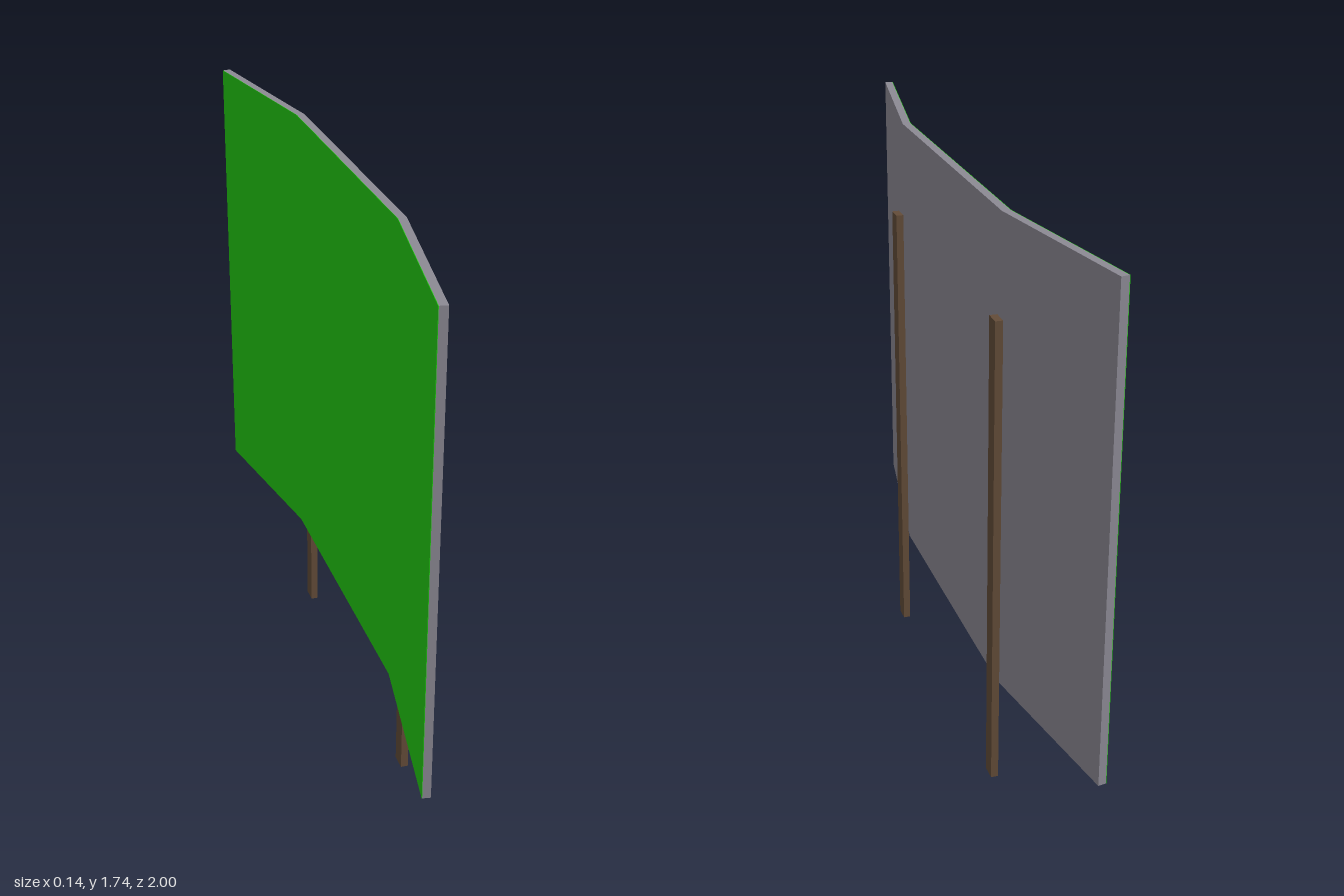
import * as THREE from 'three';

const BOTTOM = 0.32, HEIGHT = 1.415;

// Plan outlines as [x, z], running from one wing tip to the other
const mirrorZ = (half) => [...half.map(([x, z]) => [x, -z]), ...half.slice().reverse()];
const rear = mirrorZ([[-0.05, 1], [0.045, 0.455]]);
const face = mirrorZ([[-0.073, 0.996], [0.021, 0.457]]);

// Upright slab between two plan outlines
function slab(name, a, b, material) {
  const outline = [...a, ...b.slice().reverse()].map(([x, z]) => new THREE.Vector2(x, -z));
  const geometry = new THREE.ExtrudeGeometry(new THREE.Shape(outline), { depth: HEIGHT, bevelEnabled: false });
  geometry.rotateX(-Math.PI / 2).translate(0, BOTTOM, 0);
  const mesh = new THREE.Mesh(geometry, material);
  mesh.name = name;
  return mesh;
}

export function createModel() {
  const panelGrey = new THREE.MeshStandardMaterial({ name: 'panelGrey', color: 0x8c8a94 });
  const screenGreen = new THREE.MeshStandardMaterial({ name: 'screenGreen', color: 0x22cc12 });
  const postBrown = new THREE.MeshStandardMaterial({ name: 'postBrown', color: 0x634c38 });

  const model = new THREE.Group();
  model.name = 'billboard';

  // Three-part board with angled wings
  model.add(slab('board', rear, face, panelGrey));

  // Thin coloured sheet on the concave side
  const sheet = face.map(([x, z]) => [x - 0.0015, z]);
  model.add(slab('displaySheet', face, sheet, screenGreen));

  // Support posts behind the bends
  for (const [name, z] of [['leftPost', 0.48], ['rightPost', -0.46]]) {
    const post = new THREE.Mesh(new THREE.BoxGeometry(0.022, 1.45, 0.048), postBrown);
    post.name = name;
    post.position.set(0.059, 0.725, z);
    model.add(post);
  }
  return model;
}
